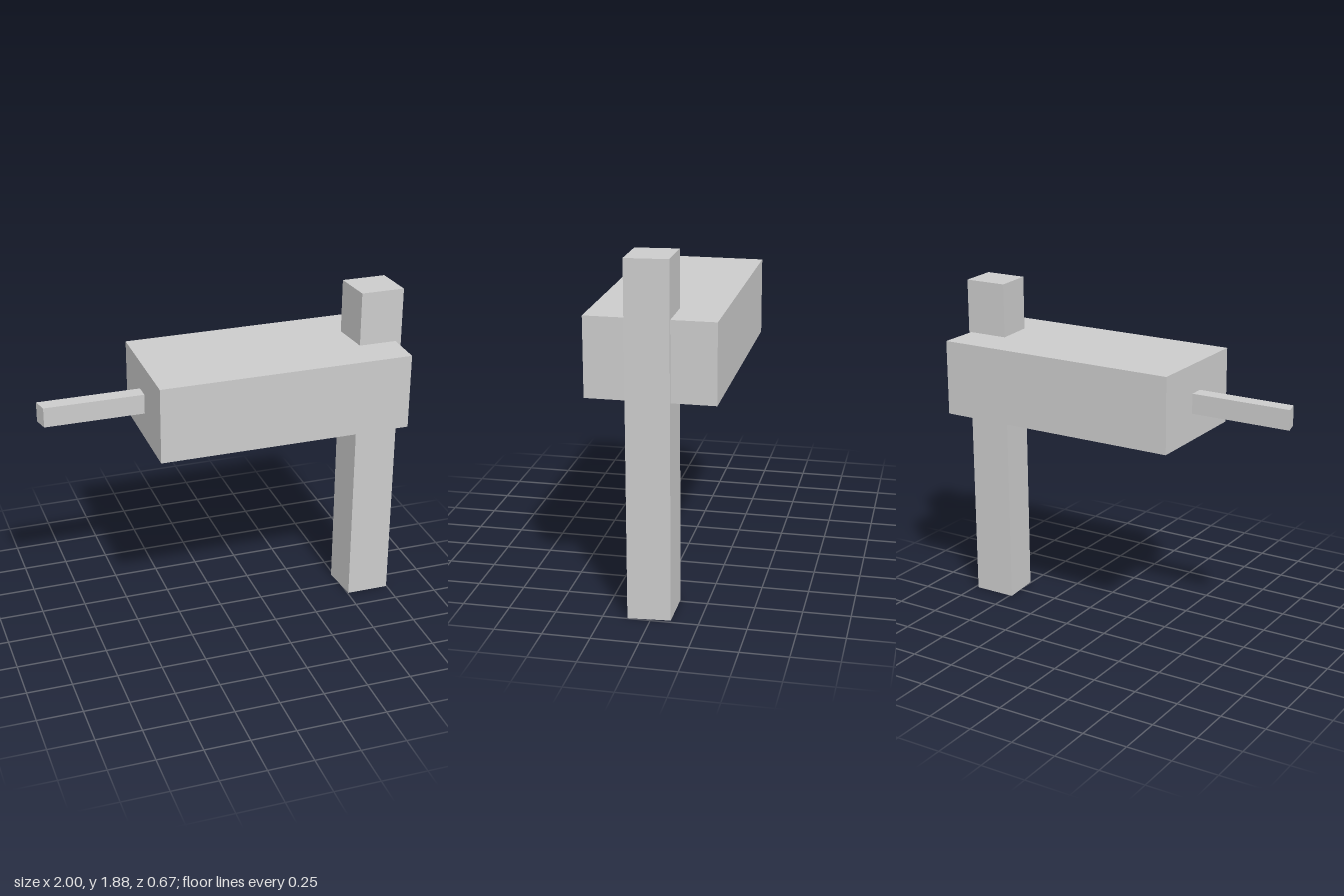
import * as THREE from 'three';

const material = new THREE.MeshStandardMaterial({ color: 0xcccccc, flatShading: true });

// Upright prism from a plan outline of [x, z] corners, between two heights
function prism(name, plan, bottom, top) {
  const shape = new THREE.Shape(plan.map(([x, z]) => new THREE.Vector2(x, -z)));
  const geometry = new THREE.ExtrudeGeometry(shape, { depth: top - bottom, bevelEnabled: false });
  geometry.rotateX(-Math.PI / 2).translate(0, bottom, 0);
  const mesh = new THREE.Mesh(geometry, material);
  mesh.name = name;
  return mesh;
}

export function createModel() {
  const group = new THREE.Group();
  group.name = 'blockOnPost';

  // Tall post with slightly skewed sides
  group.add(prism('post', [[0.755, 0.12], [0.997, 0.12], [0.98, -0.103], [0.735, -0.103]], 0, 1.88));

  // Large horizontal block that the post passes through
  const block = new THREE.Mesh(new THREE.BoxGeometry(1.4, 0.42, 0.67), material);
  block.name = 'block';
  block.position.set(0.265, 1.37, 0);
  group.add(block);

  // Thin bar sticking out of the block, with a slanted tip
  group.add(prism('bar', [[-0.98, 0.03], [-0.4, 0.03], [-0.4, -0.055], [-1, -0.055]], 1.31, 1.42));

  return group;
}
